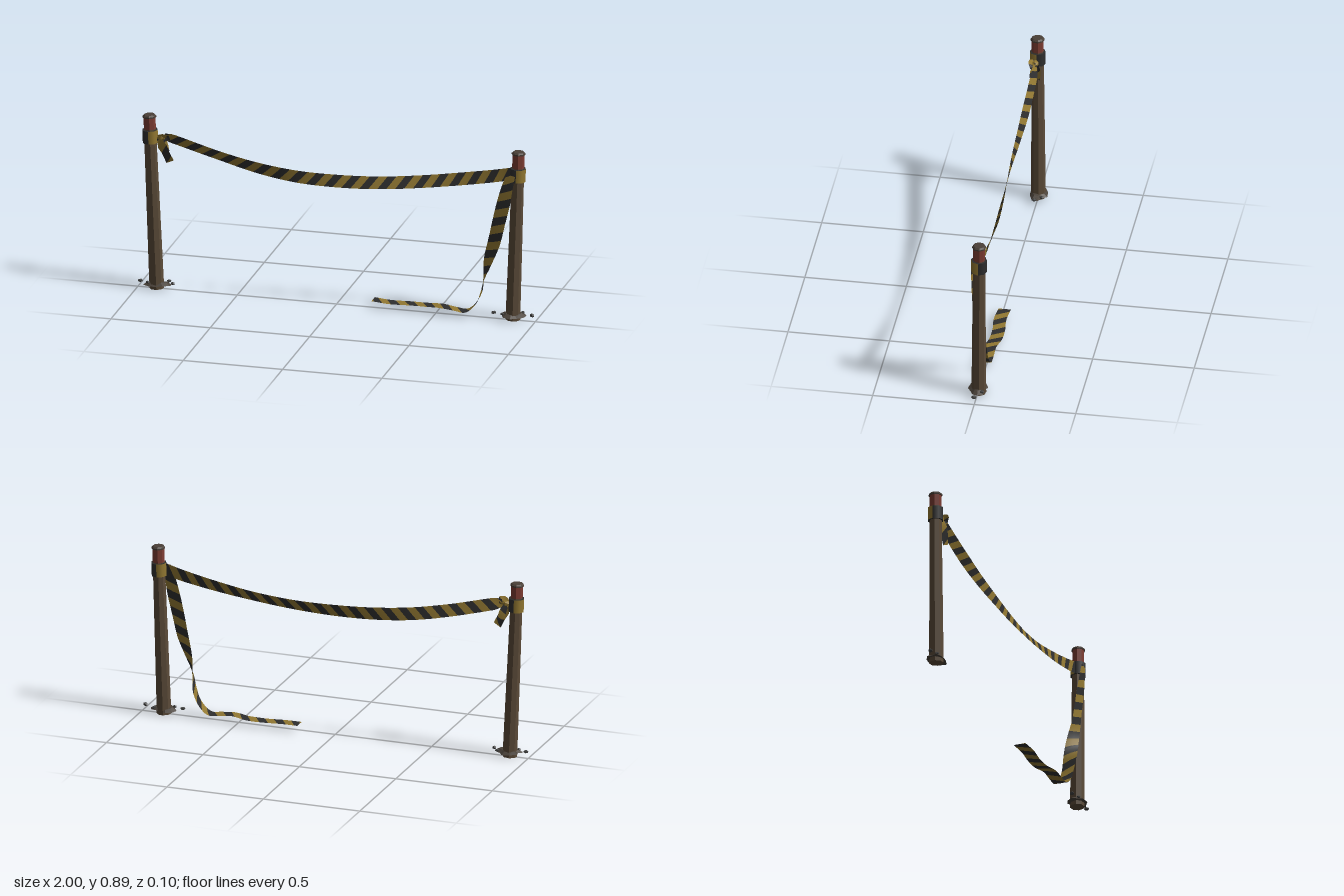
import * as THREE from 'three';

const mat = (color, flat = true) => new THREE.MeshStandardMaterial({ color, flatShading: flat, side: THREE.DoubleSide });
const WOOD = mat(0x5a4a38), RED = mat(0x7c3c32), CAP = mat(0x4a4038), DIRT = mat(0x4a423a), STONE = mat(0x40403f);
const YELLOW = mat(0x927832, false), BLACK = mat(0x2e2e2e, false);

function add(parent, name, geometry, material, x = 0, y = 0, z = 0) {
  const mesh = new THREE.Mesh(geometry, material);
  mesh.name = name;
  mesh.position.set(x, y, z);
  parent.add(mesh);
  return mesh;
}

// Striped tape. Each key is [x, y, z, turn about the path, half width].
function ribbon(name, keys, stripe, slant, firstYellow = true) {
  const group = new THREE.Group();
  group.name = name;
  const path = new THREE.CatmullRomCurve3(keys.map(k => new THREE.Vector3(k[0], k[1], k[2])));
  path.arcLengthDivisions = 400;
  const extra = new THREE.CatmullRomCurve3(keys.map(k => new THREE.Vector3(k[3], k[4], 0)));
  const total = path.getLength();
  const point = (s, v) => {
    const t = path.getUtoTmapping(Math.min(Math.max(s / total, 0), 1));
    const tan = path.getTangent(t), e = extra.getPoint(t);
    const side = new THREE.Vector3(-tan.y, tan.x, 0).normalize().multiplyScalar(Math.cos(e.x));
    side.z = Math.sin(e.x);
    return path.getPoint(t).addScaledVector(side, v * e.y);
  };
  const NS = 4, NV = 2;
  const sets = [{ pos: [], idx: [] }, { pos: [], idx: [] }];
  const lead = Math.ceil(Math.abs(slant) / stripe);
  for (let k = -lead; k < total / stripe + lead; k++) {
    const { pos, idx } = sets[Math.abs(k + (firstYellow ? 0 : 1)) % 2];
    const base = pos.length / 3;
    for (let i = 0; i <= NS; i++) {
      for (let j = 0; j <= NV; j++) {
        const v = (j / NV) * 2 - 1;
        pos.push(...point((k + i / NS) * stripe + slant * v, v).toArray());
        if (i < NS && j < NV) {
          const a = base + i * (NV + 1) + j, b = a + NV + 1;
          idx.push(a, b, a + 1, b, b + 1, a + 1);
        }
      }
    }
  }
  sets.forEach(({ pos, idx }, i) => {
    const g = new THREE.BufferGeometry();
    g.setAttribute('position', new THREE.Float32BufferAttribute(pos, 3));
    g.setIndex(idx);
    g.computeVertexNormals();
    add(group, i ? 'blackStripes' : 'yellowStripes', g, i ? BLACK : YELLOW);
  });
  return group;
}

// Leaning octagonal post with painted top, cap and a wrap of tape.
function post(name, foot, top, bandY, redY) {
  const group = new THREE.Group();
  group.name = name;
  const a = new THREE.Vector3(...foot), b = new THREE.Vector3(...top);
  const h = a.distanceTo(b);
  group.position.copy(a);
  group.quaternion.setFromUnitVectors(new THREE.Vector3(0, 1, 0), b.clone().sub(a).normalize());
  const radius = y => 0.036 - 0.007 * y / h;
  const section = (y0, y1, grow = 0) =>
    new THREE.CylinderGeometry(radius(y1) + grow, radius(y0) + grow, y1 - y0, 8).rotateY(0.2);
  add(group, 'shaft', section(0, redY), WOOD, 0, redY / 2);
  add(group, 'paintedTop', section(redY, h - 0.012), RED, 0, (redY + h - 0.012) / 2);
  add(group, 'capRim', new THREE.CylinderGeometry(0.034, 0.034, 0.007, 8).rotateY(0.2), CAP, 0, h - 0.0105);
  add(group, 'capTop', new THREE.CylinderGeometry(0.027, 0.034, 0.007, 8).rotateY(0.2), CAP, 0, h - 0.0035);
  // Quarter sleeves in alternating colours
  for (let q = 0; q < 4; q++) {
    add(group, 'tapeWrap', new THREE.CylinderGeometry(0.039, 0.039, 0.066, 2, 1, true, q * Math.PI / 2, Math.PI / 2),
      q % 2 ? BLACK : YELLOW, 0, bandY);
  }
  for (const y of [bandY - 0.033, bandY + 0.033])
    add(group, 'tapeWrapEdge', new THREE.RingGeometry(0.028, 0.039, 8).rotateX(-Math.PI / 2), BLACK, 0, y);
  return group;
}

// Uneven disturbed earth and loose stones round a post
function rubble(name, x, seed, stones) {
  const group = new THREE.Group();
  group.name = name;
  group.position.x = x;
  const g = new THREE.CylinderGeometry(0.04, 0.062, 0.014, 11);
  const p = g.attributes.position;
  for (let i = 0; i < p.count; i++) {
    const ang = Math.atan2(p.getZ(i), p.getX(i));
    const k = 1 + 0.16 * Math.sin(3 * ang + seed) + 0.1 * Math.sin(5 * ang + seed * 2);
    p.setXYZ(i, p.getX(i) * k * 1.05, p.getY(i) + 0.003 * Math.sin(2 * ang + seed), p.getZ(i) * k * 0.72);
  }
  add(group, 'earth', g, DIRT, 0, 0.026, 0);
  stones.forEach(([sx, sz, r], i) => {
    const s = add(group, 'stone', new THREE.DodecahedronGeometry(r, 0), STONE, sx - x, 0.031, sz);
    s.scale.set(1, 0.65, 0.85);
    s.rotation.y = seed + i * 1.7;
  });
  return group;
}

export function createModel() {
  const model = new THREE.Group();
  model.name = 'tapeBarrier';

  model.add(post('rightPost', [-0.905, 0, 0], [-0.94, 0.892, 0.01], 0.782, 0.82));
  model.add(post('leftPost', [0.886, 0, -0.004], [0.914, 0.862, -0.01], 0.744, 0.78));
  model.add(rubble('rightRubble', -0.9, 0.6, [[-0.987, 0.003, 0.013], [-0.822, 0.008, 0.012], [-0.85, -0.025, 0.012], [-0.945, 0.02, 0.011]]));
  model.add(rubble('leftRubble', 0.885, 2.4, [[0.985, 0.004, 0.014], [0.793, 0.008, 0.013], [0.84, 0.022, 0.01], [0.93, -0.026, 0.012]]));

  // Sagging tape between the posts, gently twisting
  model.add(ribbon('saggingTape', [
    [-0.865, 0.783, 0.006, 0.2, 0.017], [-0.82, 0.772, 0.003, 0.4, 0.03], [-0.6, 0.712, 0.005, 0.45, 0.031],
    [-0.4, 0.667, 0.011, 0.25, 0.031], [-0.2, 0.641, 0.015, 0, 0.031], [0, 0.634, 0.009, -0.2, 0.031],
    [0.2, 0.64, 0, -0.4, 0.031], [0.4, 0.66, -0.01, -0.45, 0.031], [0.6, 0.69, -0.015, -0.3, 0.031],
    [0.8, 0.727, -0.013, -0.1, 0.031], [0.885, 0.747, -0.01, 0, 0.031]], 0.0445, 0.025));

  // Loose end hanging down and trailing along the ground
  model.add(ribbon('hangingTape', [
    [0.885, 0.75, 0.03, 0, 0.022], [0.868, 0.69, 0.031, 0.05, 0.028], [0.847, 0.6, 0.03, 0.1, 0.034],
    [0.823, 0.5, 0.028, 0.15, 0.034], [0.8, 0.4, 0.026, 0.25, 0.034], [0.768, 0.3, 0.022, 0.65, 0.033],
    [0.743, 0.2, 0.017, 1.3, 0.032], [0.734, 0.14, 0.012, 1.5, 0.031], [0.708, 0.075, 0.008, 1.5, 0.031],
    [0.655, 0.026, 0.004, 1.55, 0.031], [0.6, 0.029, 0.002, 1.6, 0.031], [0.53, 0.037, 0, 1.55, 0.031],
    [0.45, 0.031, -0.014, 1.57, 0.031], [0.36, 0.03, -0.015, 1.57, 0.031], [0.27, 0.031, -0.006, 1.57, 0.031],
    [0.18, 0.035, -0.014, 1.57, 0.031]], 0.045, -0.02));

  // Knot with crumpled loops and short ends
  const knot = new THREE.Group();
  knot.name = 'knot';
  const lump = add(knot, 'knotCore', new THREE.IcosahedronGeometry(0.02, 0), YELLOW, -0.88, 0.78, 0.012);
  lump.scale.set(1.2, 0.8, 0.9);
  knot.add(ribbon('upperLoop', [[-0.89, 0.778, 0.016, 0.3, 0.014], [-0.865, 0.793, 0.03, 0.6, 0.016],
    [-0.838, 0.79, 0.022, 0.9, 0.017], [-0.85, 0.775, 0.006, 0.6, 0.014], [-0.885, 0.776, 0.006, 0.2, 0.012]], 0.05, 0.008));
  knot.add(ribbon('longEnd', [[-0.888, 0.778, 0.02, 0.2, 0.012], [-0.875, 0.748, 0.026, 0.2, 0.021],
    [-0.856, 0.708, 0.022, 0.4, 0.024], [-0.833, 0.66, 0.018, 0.2, 0.022]], 0.06, -0.016));
  knot.add(ribbon('shortEnd', [[-0.885, 0.776, 0.002, -0.4, 0.012], [-0.872, 0.745, -0.008, -0.6, 0.018],
    [-0.862, 0.7, -0.006, -0.5, 0.019]], 0.04, -0.012, false));
  model.add(knot);

  return model;
}
